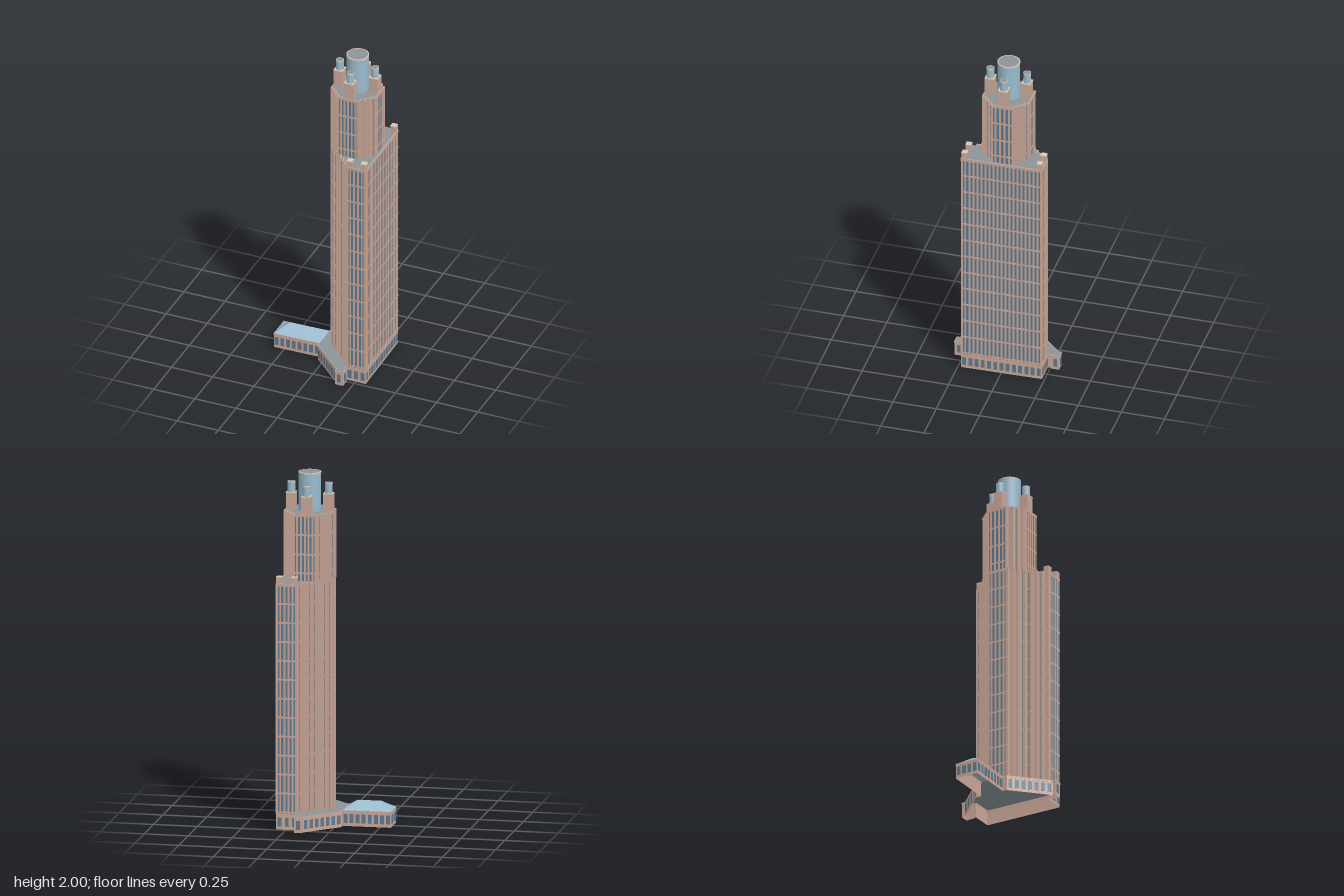
import * as THREE from 'three';
import { mergeGeometries } from 'three/addons/utils/BufferGeometryUtils.js';

const mat = (color) => new THREE.MeshStandardMaterial({ color, side: THREE.DoubleSide });

export function createModel() {
  const model = new THREE.Group();
  const stone = mat(0xcaa798), cap = mat(0xd8c6b2), glass = mat(0x5b7a90);
  const paleGlass = mat(0x9abbce), roofGrey = mat(0x8c949a);

  const add = (name, geometry, material, x = 0, y = 0, z = 0) => {
    const mesh = new THREE.Mesh(geometry, material);
    mesh.name = name;
    mesh.position.set(x, y, z);
    model.add(mesh);
    return mesh;
  };

  // Visits each side of an outline; place() sets a geometry on it, local +z pointing outward
  const eachSide = (outline, visit) => outline.forEach(([x1, z1], i) => {
    const [x2, z2] = outline[(i + 1) % outline.length];
    const dx = x2 - x1, dz = z2 - z1, len = Math.hypot(dx, dz);
    const place = (geo, along, y, out = 0) => geo.translate(0, y, out)
      .rotateY(Math.atan2(dz, -dx))
      .translate(x1 + dx * along / len, 0, z1 + dz * along / len);
    visit(len, place);
  });

  const walls = (name, outline, y0, y1, material) => {
    const parts = [];
    eachSide(outline, (len, place) =>
      parts.push(place(new THREE.PlaneGeometry(len, y1 - y0), len / 2, (y0 + y1) / 2)));
    add(name, mergeGeometries(parts), material);
  };

  const flatRoof = (name, outline, y) => {
    const shape = new THREE.Shape(outline.map(([x, z]) => new THREE.Vector2(x, -z)));
    add(name, new THREE.ShapeGeometry(shape).rotateX(-Math.PI / 2), roofGrey, 0, y, 0);
  };

  // Horizontal strips running round an outline
  const bands = (name, outline, heights, h, depth) => {
    const parts = [];
    eachSide(outline, (len, place) => heights.forEach((y) =>
      parts.push(place(new THREE.BoxGeometry(len + depth, h, depth), len / 2, y))));
    add(name, mergeGeometries(parts), stone);
  };

  // Glass shaft with stone piers at every bay and bands at every storey group
  const shaft = (name, outline, y0, y1, heights) => {
    const w = 0.0105, bay = 0.0233, parts = [];
    walls(name + 'Glass', outline, y0, y1, glass);
    eachSide(outline, (len, place) => {
      const n = Math.max(1, Math.round(len / bay));
      for (let i = 0; i <= n; i++) {
        const at = Math.min(Math.max(len * i / n, w / 2), len - w / 2);
        parts.push(place(new THREE.BoxGeometry(w, y1 - y0, 0.005), at, (y0 + y1) / 2));
      }
    });
    add(name + 'Piers', mergeGeometries(parts), stone);
    bands(name + 'Bands', outline, heights, 0.01, 0.004);
    bands(name + 'Parapet', outline, [y1 - 0.006], 0.016, 0.006);
    flatRoof(name + 'Roof', outline, y1 - 0.001);
  };

  // Main tower: flat face on +x, stepped sides converging toward -x
  const tower = [
    [0.305, -0.234], [0.311, 0.23], [0.195, 0.23], [0.195, 0.207], [0.172, 0.207], [0.172, 0.183],
    [0.15, 0.183], [0.15, 0.16], [0.125, 0.16], [0.125, 0.133], [0.1, 0.133], [0.1, 0.11],
    [0.077, 0.11], [0.077, 0.087], [0.052, 0.087], [0.052, 0.065], [0.029, 0.065],
    [0.027, -0.063], [0.05, -0.063], [0.05, -0.087], [0.073, -0.087], [0.073, -0.112],
    [0.095, -0.112], [0.095, -0.136], [0.118, -0.136], [0.118, -0.16], [0.142, -0.16],
    [0.142, -0.183], [0.165, -0.183], [0.165, -0.207], [0.187, -0.207], [0.187, -0.234],
  ];
  shaft('tower', tower, 0.09, 1.4, Array.from({ length: 12 }, (_, i) => 1.287 - i * 0.108));

  // Crown: symmetric stepped block, one quarter mirrored into four
  const quarter = [[0.134, 0.064], [0.111, 0.064], [0.111, 0.087], [0.089, 0.087],
    [0.089, 0.111], [0.066, 0.111], [0.066, 0.134]];
  const cx = 0.162, cz = -0.003, crown = [];
  [[1, 1], [-1, 1], [-1, -1], [1, -1]].forEach(([sx, sz]) => {
    const pts = quarter.map(([x, z]) => [cx + sx * x, cz + sz * z]);
    crown.push(...(sx * sz > 0 ? pts : pts.reverse()));
  });
  shaft('crown', crown, 1.4, 1.78, [1.446, 1.552, 1.663]);

  // Round lantern with a stone rim and a grey lid
  const drum = (name, x, z, r, y0, y1) => {
    add(name, new THREE.CylinderGeometry(r, r, y1 - y0, 20, 1, true), paleGlass, x, (y0 + y1) / 2, z);
    add(name + 'Rim', new THREE.CylinderGeometry(r * 1.02, r * 1.02, 0.006, 20), cap, x, y1 - 0.003, z);
    add(name + 'Lid', new THREE.CircleGeometry(r * 0.92, 20).rotateX(-Math.PI / 2), roofGrey, x, y1 + 0.0008, z);
  };
  const block = (name, x, z, w, y0, y1) => {
    add(name, new THREE.BoxGeometry(w, y1 - y0, w), stone, x, (y0 + y1) / 2, z);
    add(name + 'Cap', new THREE.BoxGeometry(w + 0.002, 0.005, w + 0.002), cap, x, y1 - 0.002, z);
  };
  drum('centralLantern', cx, cz, 0.063, 1.78, 1.999);
  [[0.158, -0.108], [0.055, 0], [0.267, -0.004], [0.163, 0.103]].forEach(([x, z]) => {
    block('pylon', x, z, 0.053, 1.78, 1.88);
    drum('pylonLantern', x, z, 0.022, 1.88, 1.94);
  });

  // Blocks on the corners of the main tower
  [[0.203, -0.218], [0.289, -0.219], [0.211, 0.214], [0.296, 0.214]].forEach(([x, z]) =>
    block('cornerBlock', x, z, 0.031, 1.39, 1.44));

  // Low podium, open underneath, joined to a wing on -x
  const podium = [
    [0.305, -0.235], [0.312, 0.231], [0.195, 0.231], [0.195, 0.25], [0.203, 0.25], [0.203, 0.3],
    [0.155, 0.3], [0.155, 0.283], [-0.035, 0.1], [-0.038, -0.1], [0.143, -0.283], [0.143, -0.302],
    [0.19, -0.302], [0.19, -0.257], [0.183, -0.257], [0.183, -0.235],
  ];
  const wing = [[-0.036, 0.073], [-0.312, 0.078], [-0.312, -0.062], [-0.038, -0.068]];
  const base = [...podium.slice(0, 9), ...wing, ...podium.slice(9)];
  walls('podiumWalls', base, 0, 0.09, stone);
  bands('podiumCornice', base, [0.084], 0.012, 0.003);
  flatRoof('podiumRoof', podium, 0.0895);

  const windows = [];
  eachSide(base, (len, place) => {
    const n = Math.round(len / 0.036);
    if (len < 0.035) return;
    for (let i = 0; i < n; i++) {
      windows.push(place(new THREE.BoxGeometry(0.022, 0.05, 0.002), len * (i + 0.5) / n, 0.044, 0.0014));
    }
  });
  add('podiumWindows', mergeGeometries(windows), glass);

  // Hipped glass roof on the wing
  const y = 0.09;
  const corners = [...wing.map(([x, z]) => [x, y, z]), [-0.243, 0.137, 0.007], [-0.108, 0.137, 0.004]];
  const faces = [0, 4, 1, 0, 5, 4, 1, 4, 2, 2, 4, 5, 2, 5, 3, 3, 5, 0];
  const hip = new THREE.BufferGeometry();
  hip.setAttribute('position', new THREE.Float32BufferAttribute(faces.flatMap((i) => corners[i]), 3));
  hip.computeVertexNormals();
  add('wingRoof', hip, paleGlass);

  return model;
}
